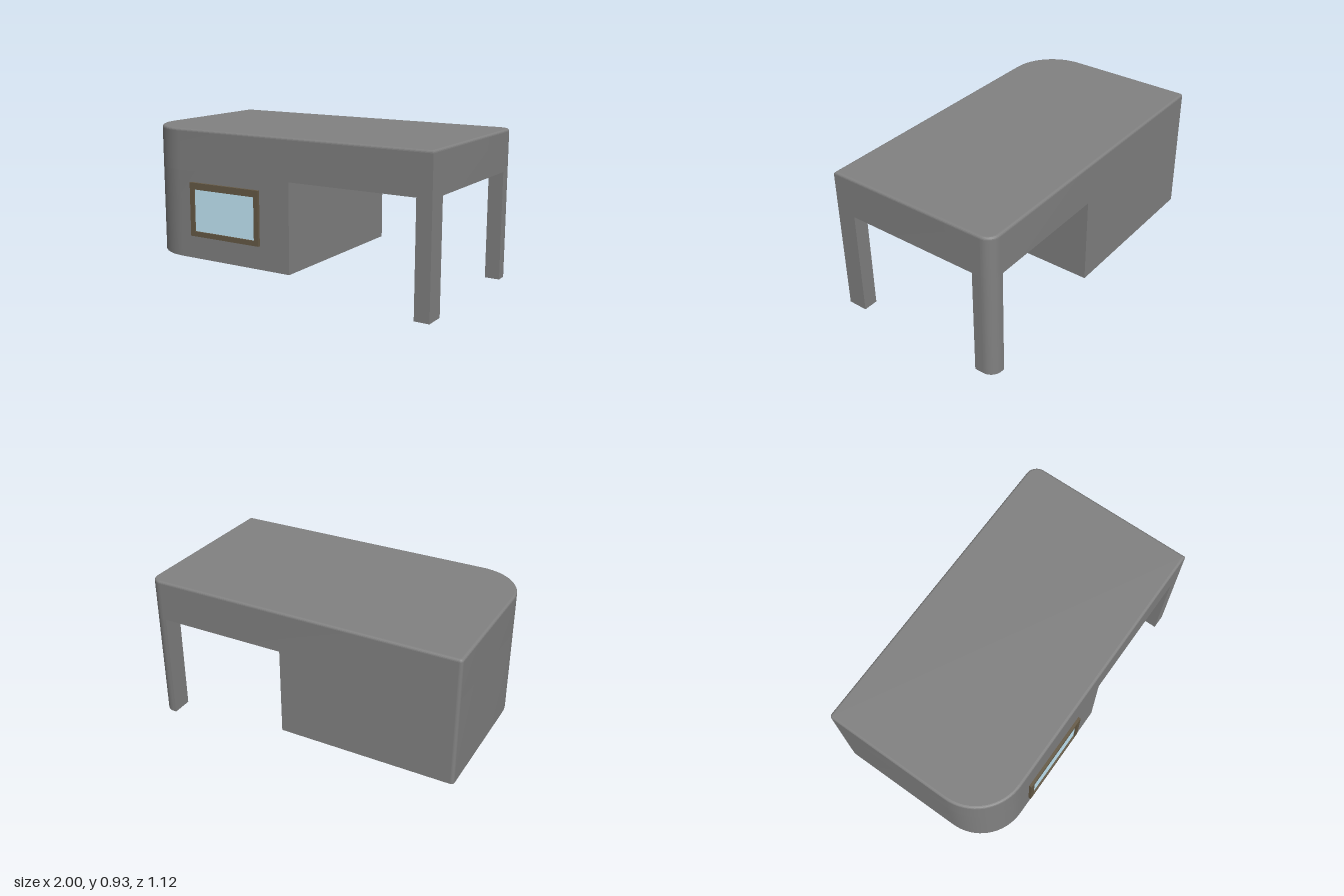
import * as THREE from 'three';
import { toCreasedNormals } from 'three/addons/utils/BufferGeometryUtils.js';

const SEG = 16;

// Rectangle in plan with one radius per corner, counter-clockwise from above.
// radii: [back +x, back -x, front -x, front +x]
function outline(x0, x1, z0, z1, radii, inset) {
  const corners = [[x1, z0, -1, 1], [x0, z0, 1, 1], [x0, z1, 1, -1], [x1, z1, -1, -1]];
  const points = [];
  corners.forEach(([x, z, dx, dz], c) => {
    const r = Math.max(radii[c] - inset, 0);
    for (let i = 0; i <= SEG; i++) {
      const a = (c + i / SEG) * Math.PI / 2;
      points.push([x + dx * (r + inset) + r * Math.cos(a), z + dz * (r + inset) - r * Math.sin(a)]);
    }
  });
  return points;
}

// Solid lofted through levels [y, inset], capped at both ends
function block(name, material, [x0, x1, z0, z1], radii, levels) {
  const pos = [], idx = [];
  const n = 4 * (SEG + 1);
  for (const [y, inset] of levels)
    for (const [x, z] of outline(x0, x1, z0, z1, radii, inset)) pos.push(x, y, z);
  const bottom = pos.length / 3, top = bottom + 1;
  const cx = (x0 + x1) / 2, cz = (z0 + z1) / 2;
  pos.push(cx, levels[0][0], cz, cx, levels[levels.length - 1][0], cz);
  const last = (levels.length - 1) * n;
  for (let j = 0; j < n; j++) {
    const k = (j + 1) % n;
    for (let a = 0; a < last; a += n) idx.push(a + j, a + k, a + n + k, a + j, a + n + k, a + n + j);
    idx.push(bottom, k, j, top, last + j, last + k);
  }
  const geo = new THREE.BufferGeometry();
  geo.setAttribute('position', new THREE.Float32BufferAttribute(pos, 3));
  geo.setIndex(idx);
  const mesh = new THREE.Mesh(toCreasedNormals(geo, 0.15), material);
  mesh.name = name;
  return mesh;
}

export function createModel() {
  const group = new THREE.Group();
  group.name = 'cabinWithCanopy';
  const grey = new THREE.MeshStandardMaterial({ color: 0x818181 });
  const brown = new THREE.MeshStandardMaterial({ color: 0x665a46 });
  const blue = new THREE.MeshStandardMaterial({ color: 0xc4eafa });

  const back = -0.56, front = 0.543, under = 0.673, height = 0.927;

  // Roof with a softly rounded top edge
  const bevel = 0.015;
  const roofLevels = [[under, 0]];
  for (let i = 0; i <= 4; i++) {
    const a = i / 4 * Math.PI / 2;
    roofLevels.push([height - bevel + bevel * Math.sin(a), bevel * (1 - Math.cos(a))]);
  }
  group.add(block('roof', grey, [-1, 1, back, front], [0.075, 0.02, 0.3, 0], roofLevels));

  // Raised closed cabin under one half of the roof
  group.add(block('cabin', grey, [-1, 0.102, back, front], [0, 0.02, 0.3, 0], [[0.128, 0], [under, 0]]));

  // Two legs under the open half
  const legLevels = [[0, 0], [under, 0]];
  group.add(block('frontLeg', grey, [0.907, 1, 0.418, front], [0, 0, 0, 0], legLevels));
  group.add(block('backLeg', grey, [0.907, 1, back, -0.43], [0.075, 0, 0, 0], legLevels));

  // Window: frame with a slightly deeper top rail, and the pane inside it
  const w = 0.51, h = 0.333, rim = 0.031, topRail = 0.041;
  const paneW = w - 2 * rim, paneH = h - rim - topRail, paneY = (rim - topRail) / 2;
  const rect = (Type, a, b, y) => new Type([[-a, -b], [a, -b], [a, b], [-a, b]].map(([u, v]) => new THREE.Vector2(u / 2, v / 2 + y)));
  const shape = rect(THREE.Shape, w, h, 0);
  shape.holes.push(rect(THREE.Path, paneW, paneH, paneY));
  const frame = new THREE.Mesh(new THREE.ExtrudeGeometry(shape, { depth: 0.027, bevelEnabled: false }), brown);
  frame.name = 'windowFrame';
  frame.position.z = -0.01;
  const pane = new THREE.Mesh(new THREE.BoxGeometry(paneW, paneH, 0.014), blue);
  pane.name = 'windowPane';
  pane.position.y = paneY;
  const windowGroup = new THREE.Group();
  windowGroup.name = 'window';
  windowGroup.add(frame, pane);
  windowGroup.position.set(-0.36, 0.438, front);
  group.add(windowGroup);

  return group;
}
